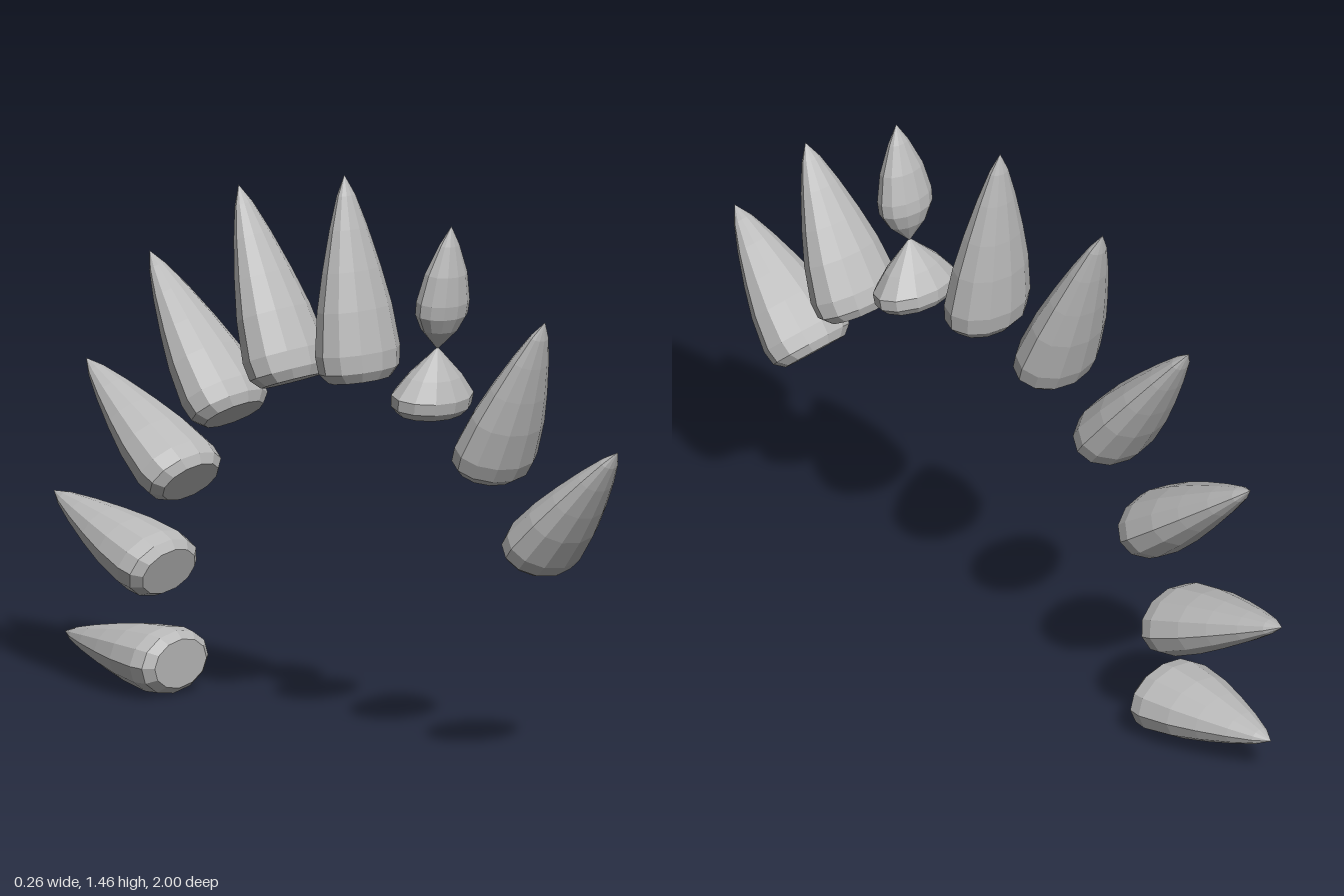
import * as THREE from 'three';

// Profiles: [radius fraction, height fraction], bottom to tip
const PLAIN = [[0, 0], [0.74, 0], [0.95, 0.05], [1, 0.14], [0.88, 0.35], [0.69, 0.54], [0.45, 0.74], [0.22, 0.9], [0, 1]];
const PINCHED = [[0, 0], [0.78, 0], [0.95, 0.04], [0.97, 0.1], [0.65, 0.2], [0.03, 0.345],
  [0.45, 0.45], [0.62, 0.53], [0.63, 0.6], [0.5, 0.75], [0.24, 0.9], [0, 1]];

// Arc of spikes in the x = 0 plane: base z, base y, tip z, tip y
const SPIKES = [
  [0.705, 0.555, 1.0, 0.87],
  [0.54, 0.755, 0.742, 1.175],
  [0.335, 0.88, 0.41, 1.38],
  [0.085, 0.93, 0.03, 1.46],
  [-0.155, 0.89, -0.345, 1.38],
  [-0.362, 0.772, -0.66, 1.16],
  [-0.515, 0.572, -0.885, 0.845],
  [-0.592, 0.325, -1.0, 0.48],
  [-0.55, 0.089, -0.96, 0.115],
];

const HALF_WIDTH = 0.131, HALF_DEPTH = 0.088, SIDES = 12;

function spikeGeometry(profile, length) {
  const points = profile.map(([r, h]) => new THREE.Vector2(r, h));
  return new THREE.LatheGeometry(points, SIDES).scale(HALF_WIDTH, length, HALF_DEPTH);
}

export function createModel() {
  const model = new THREE.Group();
  model.name = 'spikeArc';
  const grey = new THREE.MeshStandardMaterial({ color: 0xb8b8b8, flatShading: true });
  grey.name = 'grey';

  SPIKES.forEach(([z0, y0, z1, y1], i) => {
    const pinched = i === 2;
    const length = Math.hypot(z1 - z0, y1 - y0);
    const spike = new THREE.Mesh(spikeGeometry(pinched ? PINCHED : PLAIN, length), grey);
    spike.name = pinched ? 'pinchedSpike' : `spike${i + 1}`;
    spike.position.set(0, y0, z0);
    spike.rotation.x = Math.atan2(z1 - z0, y1 - y0);
    model.add(spike);
  });
  return model;
}
